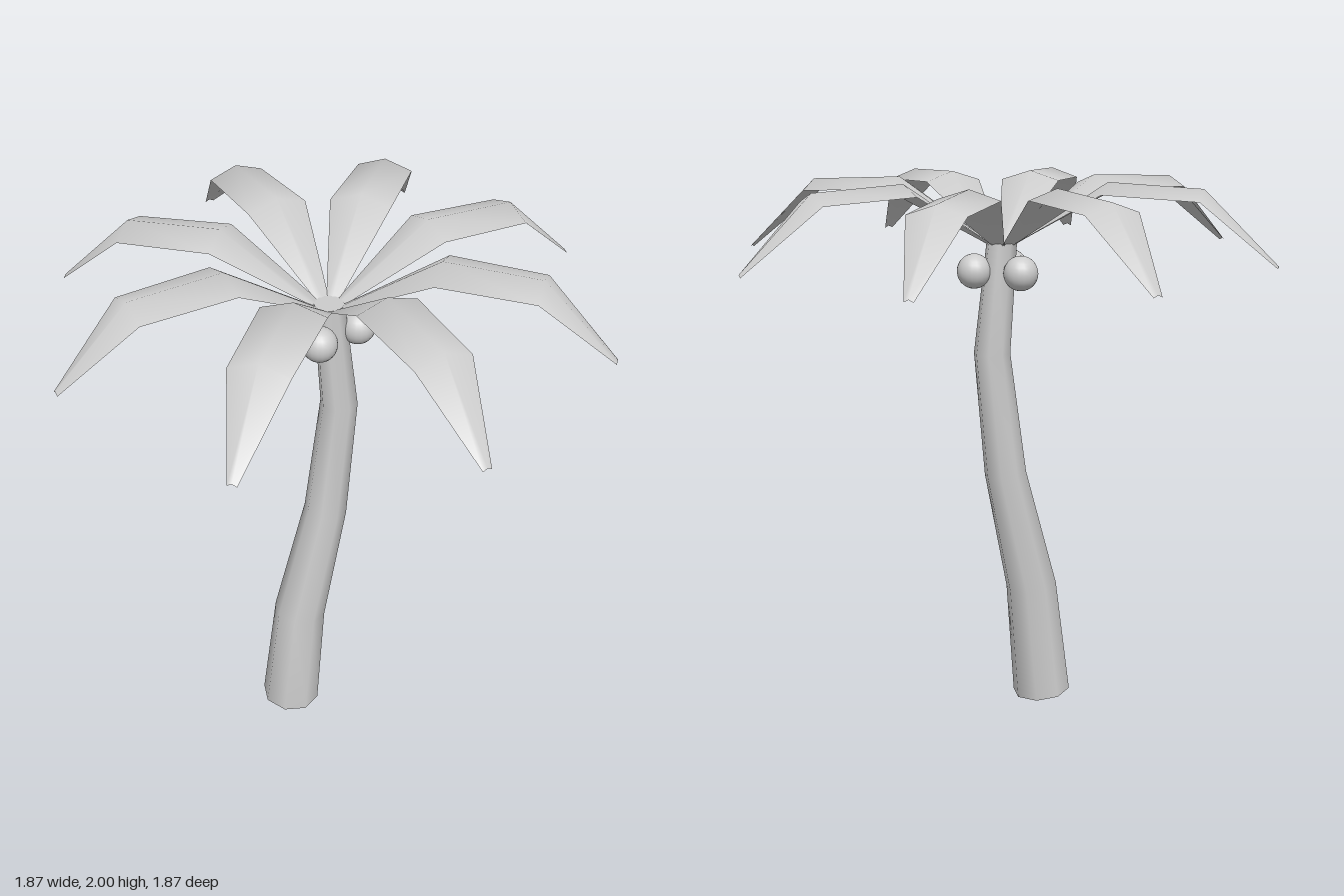
import * as THREE from 'three';

// Skin a list of equal-length cross-sections; closed ones wrap around.
function loft(rows, closed) {
  const n = rows[0].length, idx = [];
  for (let r = 0; r < rows.length - 1; r++) {
    for (let i = 0; i < (closed ? n : n - 1); i++) {
      const j = (i + 1) % n;
      const a = r * n + i, b = r * n + j, c = a + n, d = b + n;
      idx.push(a, c, b, b, c, d);
    }
  }
  const g = new THREE.BufferGeometry();
  g.setAttribute('position', new THREE.Float32BufferAttribute(rows.flat(2), 3));
  g.setIndex(idx);
  g.computeVertexNormals();
  return g;
}

// Fan that closes a ring
function cap(ring, up) {
  const g = new THREE.BufferGeometry(), idx = [];
  for (let i = 1; i < ring.length - 1; i++) idx.push(0, ...(up ? [i, i + 1] : [i + 1, i]));
  g.setAttribute('position', new THREE.Float32BufferAttribute(ring.flat(), 3));
  g.setIndex(idx);
  g.computeVertexNormals();
  return g;
}

export function createModel() {
  const palm = new THREE.Group();
  palm.name = 'palmTree';
  const grey = new THREE.MeshStandardMaterial({ color: 0xcccccc, side: THREE.DoubleSide });
  grey.name = 'lightGrey';
  const add = (name, geometry) => {
    const mesh = new THREE.Mesh(geometry, grey);
    mesh.name = name;
    palm.add(mesh);
    return mesh;
  };

  // Curved, tapering trunk: x, y, z, radius, tilt of each ring
  const SIDES = 8;
  const rings = [
    [-0.17, 0.015, 0.055, 0.11, 0.1],
    [-0.125, 0.46, 0.048, 0.096, 0.14],
    [-0.018, 0.92, 0.02, 0.078, 0.14],
    [0.035, 1.38, 0.003, 0.067, 0.02],
    [0, 1.78, 0, 0.055, 0],
  ].map(([x, y, z, r, tilt]) => Array.from({ length: SIDES }, (_, i) => {
    const a = -(i + 0.5) / SIDES * Math.PI * 2;
    const dx = Math.cos(a) * r;
    return [x + dx, y - dx * tilt, z + Math.sin(a) * r];
  }));
  // rings run clockwise from below, so reverse the order for outward faces
  add('trunk', loft(rings.map(r => [...r].reverse()).reverse(), true));
  add('trunkTop', cap(rings[4], true));
  add('trunkBase', cap(rings[0], false));

  // Coconuts
  for (const [x, z] of [[0.1, 0], [-0.05, 0.088], [-0.05, -0.088]]) {
    add('coconut', new THREE.SphereGeometry(0.062, 20, 14)).position.set(x, 1.68, z);
  }

  // Drooping frond: distance out, ridge height, half width, drop of the edges
  const frond = loft([
    [0.04, 1.775, 0.022, 0.005],
    [0.38, 2.0, 0.11, 0.035],
    [0.712, 1.985, 0.101, 0.035],
    [0.972, 1.735, 0.016, 0.008],
  ].map(([u, y, w, d]) => [[u, y - d, w], [u, y, 0], [u, y - d, -w]]), false);
  // ring of eight fronds
  for (let i = 0; i < 8; i++) {
    add('frond', frond).rotation.y = THREE.MathUtils.degToRad(17 + i * 45);
  }
  return palm;
}
